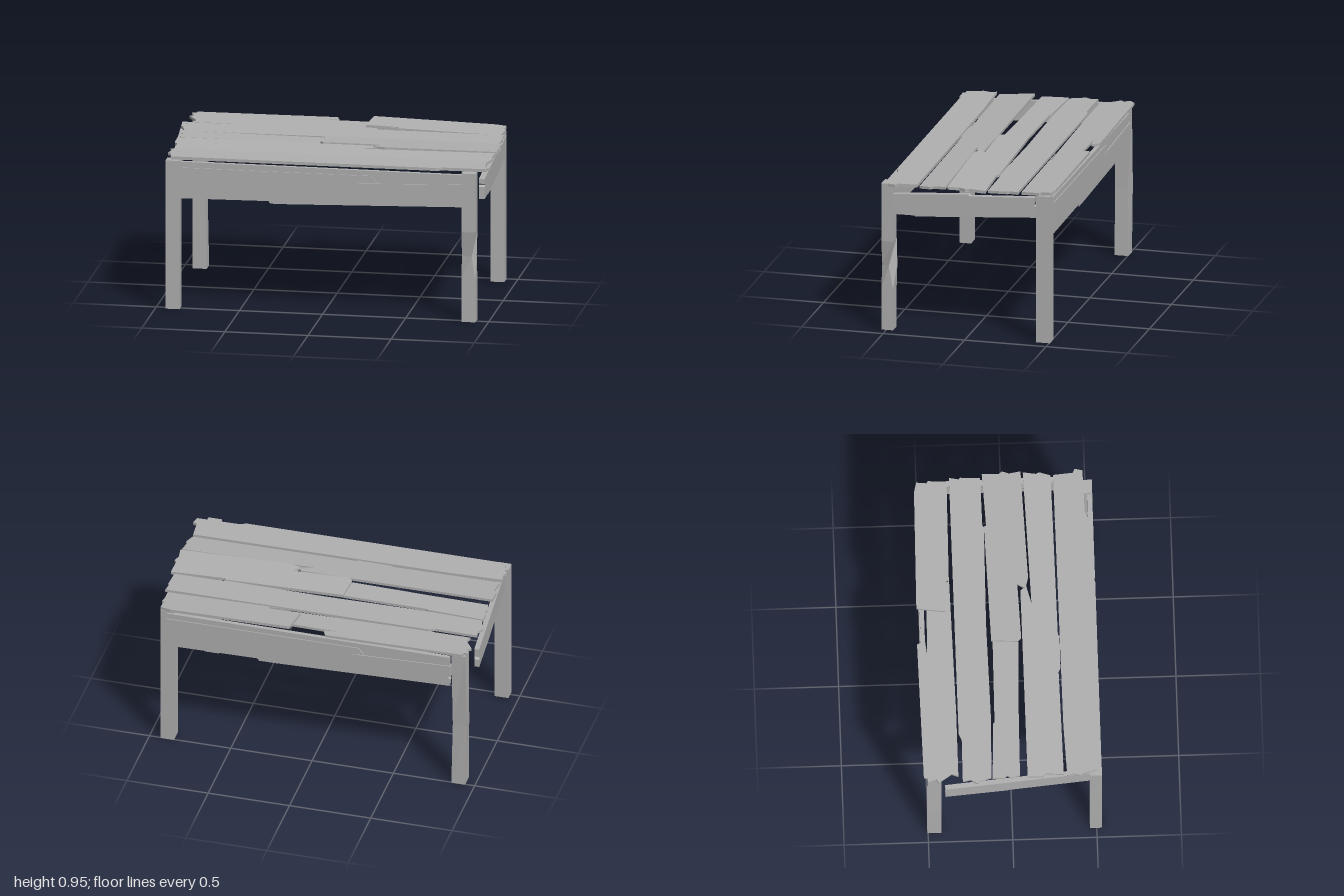
import * as THREE from 'three';

const grey = new THREE.MeshStandardMaterial({ color: 0xb0b0b0 });
grey.name = 'weatheredGrey';

// Flat board cut from a 2D outline, extruded towards +z
function cutBoard(outline, thick) {
  const shape = new THREE.Shape(outline.map(([a, b]) => new THREE.Vector2(a, b)));
  return new THREE.ExtrudeGeometry(shape, { depth: thick, bevelEnabled: false });
}

function part(name, geometry) {
  const mesh = new THREE.Mesh(geometry, grey);
  mesh.name = name;
  return mesh;
}

// Table top plank: outline in x, z; height(x, z) gives the underside
function plank(name, outline, height, thick = 0.016) {
  const g = cutBoard(outline.map(([x, z]) => [x, -z]), thick);
  g.rotateX(-Math.PI / 2);
  const p = g.attributes.position;
  for (let i = 0; i < p.count; i++) p.setY(i, p.getY(i) + height(p.getX(i), p.getZ(i)));
  g.computeVertexNormals();
  return part(name, g);
}

// Leg lofted from four-cornered sections: each ring is [y, corners]
function leg(name, cx, cz, rings) {
  const pos = [], idx = [];
  for (const [y, corners] of rings) for (const [x, z] of corners) pos.push(cx + x, y, cz + z);
  for (let r = 0; r < rings.length - 1; r++) {
    for (let k = 0; k < 4; k++) {
      const a = r * 4 + k, b = r * 4 + (k + 1) % 4;
      idx.push(a, b, b + 4, a, b + 4, a + 4);
    }
  }
  const t = (rings.length - 1) * 4;
  idx.push(0, 2, 1, 0, 3, 2, t, t + 1, t + 2, t, t + 2, t + 3);
  const g = new THREE.BufferGeometry();
  g.setAttribute('position', new THREE.Float32BufferAttribute(pos, 3));
  g.setIndex(idx);
  const flat = g.toNonIndexed();
  flat.computeVertexNormals();
  return part(name, flat);
}

// Long apron: a split board whose upper strip is set back behind the crack
function longApron(name) {
  const group = new THREE.Group();
  group.name = name;
  const lower = cutBoard([[-0.88, 0.68], [-0.32, 0.687], [-0.31, 0.672], [-0.2, 0.673], [0.86, 0.702],
    [0.865, 0.745], [0.85, 0.76], [0.87, 0.77], [0.865, 0.84], [0.22, 0.818], [0.335, 0.827], [0.3, 0.868], [-0.88, 0.868]], 0.031);
  const upper = cutBoard([[-0.88, 0.86], [0.3, 0.8], [0.86, 0.82], [0.86, 0.896], [-0.88, 0.903]], 0.025);
  group.add(part('apronLowerBoard', lower), part('apronUpperStrip', upper));
  return group;
}

// Side apron: outline in z, y; outer face x runs from xBack to xFront
function sideApron(name, outline, xBack, xFront, thick) {
  const g = cutBoard(outline.map(([z, y]) => [-z, y]), thick);
  g.rotateY(Math.PI / 2);
  const p = g.attributes.position;
  for (let i = 0; i < p.count; i++) {
    const f = (p.getZ(i) + 0.42) / 0.87;
    p.setX(i, p.getX(i) - thick + xBack + (xFront - xBack) * f);
  }
  g.computeVertexNormals();
  return part(name, g);
}

export function createModel() {
  const model = new THREE.Group();
  model.name = 'woodenTable';

  // Legs
  const sq = (w, d) => [[-w, d], [w, d], [w, -d], [-w, -d]];
  const f = sq(0.0425, 0.036), b = sq(0.042, 0.042);
  const twisted = [[-0.0425, 0.01], [0.02, 0.036], [0.0425, -0.01], [-0.02, -0.046]];
  const bent = [[-0.045, 0.042], [0.035, 0.042], [0.035, -0.035], [-0.055, -0.044]];
  model.add(
    leg('frontLeftLeg', 0.8825, 0.495, [[0, f], [0.255, f], [0.4, twisted], [0.55, f], [0.908, f]]),
    leg('frontRightLeg', -0.898, 0.495, [[0, f], [0.908, f]]),
    leg('backLeftLeg', 0.89, -0.463, [[0, b], [0.908, b]]),
    leg('backRightLeg', -0.9, -0.463, [[0, b], [0.42, bent], [0.908, b]]),
  );

  // Long aprons, the back one turned half round
  const front = longApron('frontApron');
  front.position.z = 0.5;
  const back = longApron('backApron');
  back.rotation.y = Math.PI;
  back.position.set(0.01, -0.005, -0.49);
  model.add(front, back);

  // Side aprons
  model.add(
    sideApron('leftApron', [[0.45, 0.737], [0.32, 0.737], [0.31, 0.731], [-0.42, 0.777], [-0.42, 0.845],
      [-0.41, 0.85], [-0.42, 0.9], [-0.02, 0.88], [-0.01, 0.89], [0.45, 0.86], [0.45, 0.83], [0.44, 0.82], [0.45, 0.81]], 0.945, 0.967, 0.035),
    sideApron('rightApron', [[0.46, 0.765], [-0.02, 0.77], [-0.03, 0.765], [-0.4, 0.78], [-0.4, 0.83],
      [-0.385, 0.84], [-0.4, 0.85], [-0.4, 0.903], [0.46, 0.89]], -0.972, -0.89, 0.03),
  );

  // Table top planks, back to front
  model.add(
    plank('plankOneLeft', [[-0.93, -0.525], [-0.09, -0.538], [-0.07, -0.49], [-0.16, -0.48], [0.14, -0.475],
      [0.14, -0.363], [0.3, -0.36], [0.3, -0.335], [-0.53, -0.32], [-0.925, -0.32], [-0.91, -0.36], [-0.965, -0.44],
      [-0.94, -0.45], [-0.96, -0.5], [-0.935, -0.5]], (x, z) => 0.908 - 0.05 * (z + 0.32)),
    plank('plankOneRight', [[0.13, -0.535], [0.87, -0.525], [0.93, -0.51], [0.925, -0.45], [0.94, -0.44], [0.925, -0.33],
      [0.18, -0.338], [0.31, -0.342], [0.3, -0.358], [0.11, -0.363]], (x, z) => 0.924 - 0.02 * (x - 0.13) - 0.06 * (z + 0.36), 0.018),
    plank('plankTwo', [[-0.96, -0.295], [-0.7, -0.293], [-0.66, -0.31], [0.955, -0.315], [0.945, -0.26], [0.955, -0.25],
      [0.95, -0.13], [0.65, -0.127], [0.64, -0.118], [0.03, -0.125], [-0.58, -0.115], [-0.94, -0.125], [-0.96, -0.19],
      [-0.975, -0.21], [-0.95, -0.25]], (x, z) => 0.908 - 0.03 * (z + 0.12)),
    plank('plankThreeLeft', [[-0.945, -0.118], [-0.6, -0.103], [-0.59, -0.095], [-0.08, -0.09], [-0.09, 0.062],
      [-0.55, 0.05], [-0.93, 0.045], [-0.945, -0.01], [-0.93, -0.03], [-0.945, -0.05]], () => 0.91),
    plank('plankThreeRight', [[-0.08, -0.098], [0.64, -0.118], [0.65, -0.105], [0.975, -0.12], [0.97, -0.02], [0.985, 0.0],
      [0.97, 0.04], [0.98, 0.11], [0.31, 0.133], [0.24, 0.115], [0.27, 0.068], [-0.07, 0.08], [-0.09, 0.06]],
      (x, z) => 0.921 + 0.04 * z - 0.006 * x, 0.018),
    plank('plankFour', [[-0.945, 0.09], [0.23, 0.085], [0.26, 0.12], [0.15, 0.148], [0.975, 0.123], [0.965, 0.2],
      [0.975, 0.22], [0.955, 0.288], [-0.05, 0.298], [-0.06, 0.308], [-0.26, 0.306], [-0.28, 0.295], [-0.93, 0.305],
      [-0.925, 0.2], [-0.945, 0.18]], (x, z) => 0.917 - 0.08 * (z - 0.13)),
    plank('plankFive', [[-0.945, 0.325], [-0.62, 0.312], [0.05, 0.308], [0.955, 0.302], [0.965, 0.42], [0.99, 0.43],
      [0.978, 0.477], [0.72, 0.482], [0.68, 0.5], [-0.91, 0.502], [-0.93, 0.42], [-0.945, 0.41], [-0.93, 0.36]],
      () => 0.909, 0.018),
  );
  return model;
}
